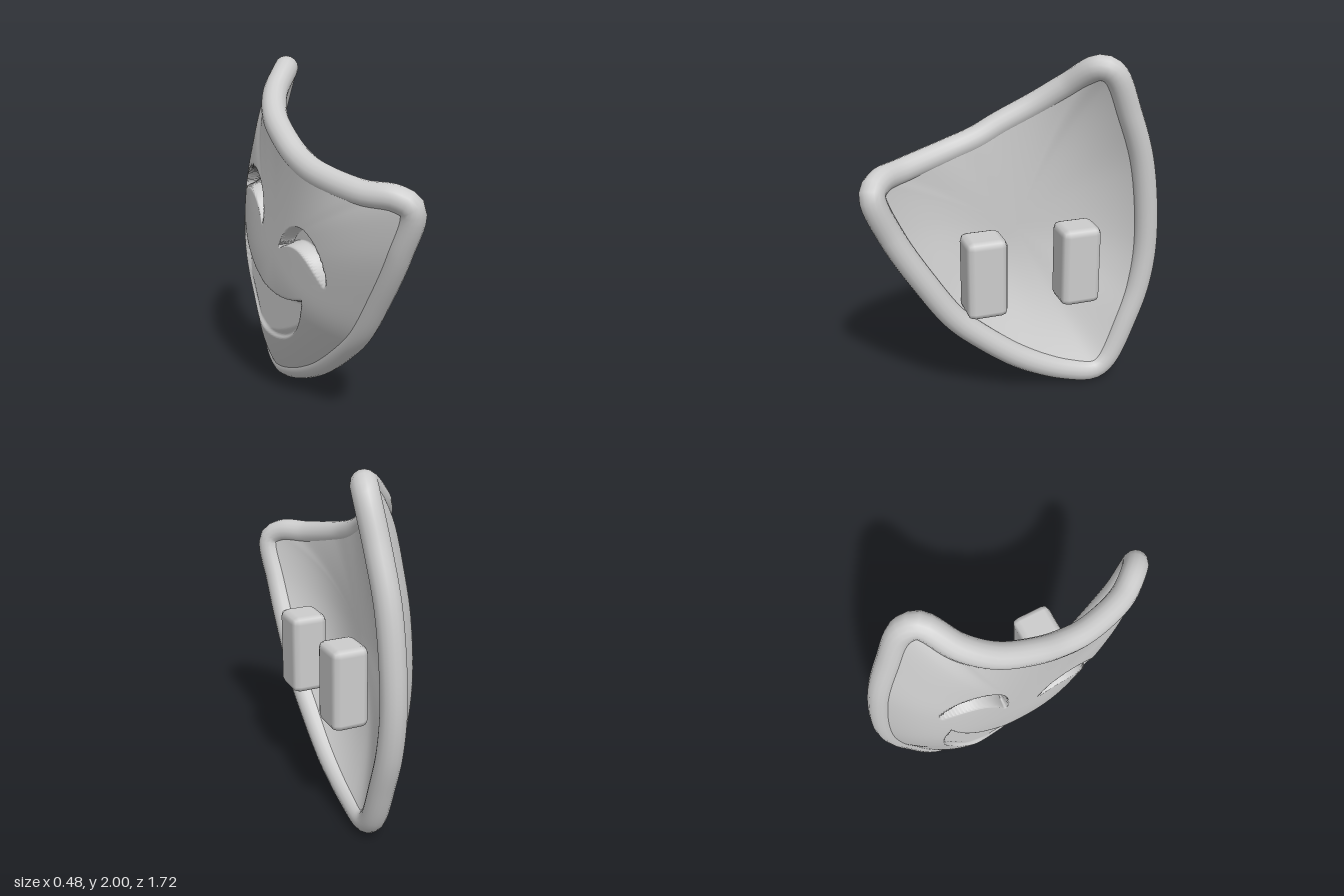
import * as THREE from 'three';
import { RoundedBoxGeometry } from 'three/addons/geometries/RoundedBoxGeometry.js';

const smooth = THREE.MathUtils.smoothstep;

// Rim centre line as [z, y, x]
const RIM = [
  [-0.46, 1.93, 0.085], [-0.33, 1.81, -0.055], [-0.18, 1.70, -0.135], [0.02, 1.595, -0.17],
  [0.16, 1.525, -0.17], [0.32, 1.475, -0.155], [0.6, 1.42, -0.06], [0.74, 1.41, 0.045],
  [0.79, 1.36, 0.105], [0.70, 1.11, 0.1], [0.53, 0.81, 0.095], [0.375, 0.58, 0.09],
  [0.22, 0.43, 0.085], [-0.03, 0.24, 0.08], [-0.3, 0.11, 0.07], [-0.49, 0.075, 0.07],
  [-0.57, 0.13, 0.07], [-0.69, 0.40, 0.075], [-0.76, 0.62, 0.075], [-0.79, 0.9, 0.075],
  [-0.74, 1.36, 0.085], [-0.64, 1.66, 0.1], [-0.53, 1.9, 0.11],
];
const CENTRE = { z: -0.05, y: 1.0, x: -0.165 };
const RADIUS = 0.07;

// Depth inside a region between two curves: 0 outside, 1 well inside
const between = (a, low, high) => smooth(Math.min(a - low, high - a), 0, 0.03);

// Carve the smiling eyes and mouth into the outer face
function carve(x, z, y) {
  // Face coordinates: the mask leans over, l runs across and a along its axis
  const l = (z + 0.5) * 0.93 - y * 0.37;
  const a = (z + 0.5) * 0.37 + y * 0.93;
  const m = Math.abs(l) / 0.37;
  if (m < 1) {
    const k = between(a, 0.95 - 0.52 * Math.sqrt(1 - m * m), 0.81 + 1.1 * l * l);
    x += (Math.max(x + 0.02, -0.13) - x) * k;
  }
  const e = (Math.abs(l) - 0.3) / 0.19;
  if (Math.abs(e) < 1) {
    const arc = 1 - e * e;
    x += 0.08 * between(a, 1.13 + 0.11 * arc, 1.13 + 0.25 * Math.sqrt(arc));
  }
  return x;
}

// Domed sheet made of rings growing from the centre to the rim
function sheet(curve, rings, around, offset, power, outer) {
  const pos = [], index = [];
  for (let j = 0; j <= rings; j++) {
    const t = j / rings;
    for (let i = 0; i < around; i++) {
      const p = curve.getPoint(i / around);
      const dz = p.z - CENTRE.z, dy = p.y - CENTRE.y;
      const z = CENTRE.z + dz * t, y = CENTRE.y + dy * t;
      // The dome falls away sooner towards the chin
      const chin = Math.max(0, (-0.41 * dz - 0.91 * dy) / Math.hypot(dz, dy));
      const bulge = 1 - Math.pow(t, power - 0.9 * chin ** 4);
      const x = p.x + (CENTRE.x - p.x) * bulge + offset;
      pos.push(outer ? carve(x, z, y) : x, y, z);
      if (j === rings) continue;
      const n = (i + 1) % around;
      const a = j * around + i, b = a + around, d = j * around + n, c = d + around;
      if (outer) index.push(a, c, b, a, d, c);
      else index.push(a, b, c, a, c, d);
    }
  }
  const g = new THREE.BufferGeometry();
  g.setAttribute('position', new THREE.Float32BufferAttribute(pos, 3));
  g.setIndex(index);
  g.computeVertexNormals();
  return g;
}

export function createModel() {
  const group = new THREE.Group();
  group.name = 'smilingMask';
  const grey = new THREE.MeshStandardMaterial({ color: 0xcccccc });
  grey.name = 'light grey';

  const add = (name, geometry) => {
    const mesh = new THREE.Mesh(geometry, grey);
    mesh.name = name;
    group.add(mesh);
    return mesh;
  };

  const curve = new THREE.CatmullRomCurve3(
    RIM.map(([z, y, x]) => new THREE.Vector3(x, y, z)), true, 'centripetal');

  add('rim', new THREE.TubeGeometry(curve, 160, RADIUS, 16, true));
  add('outerFace', sheet(curve, 90, 280, -0.06, 3.4, true));
  add('innerFace', sheet(curve, 24, 120, 0.06, 3.0, false));

  // Two chamfered mounting blocks behind the face
  [['frontBlock', 0.21], ['rearBlock', -0.335]].forEach(([name, z]) => {
    add(name, new RoundedBoxGeometry(0.21, 0.46, 0.23, 1, 0.04)).position.set(0.135, 0.84, z);
  });

  return group;
}
